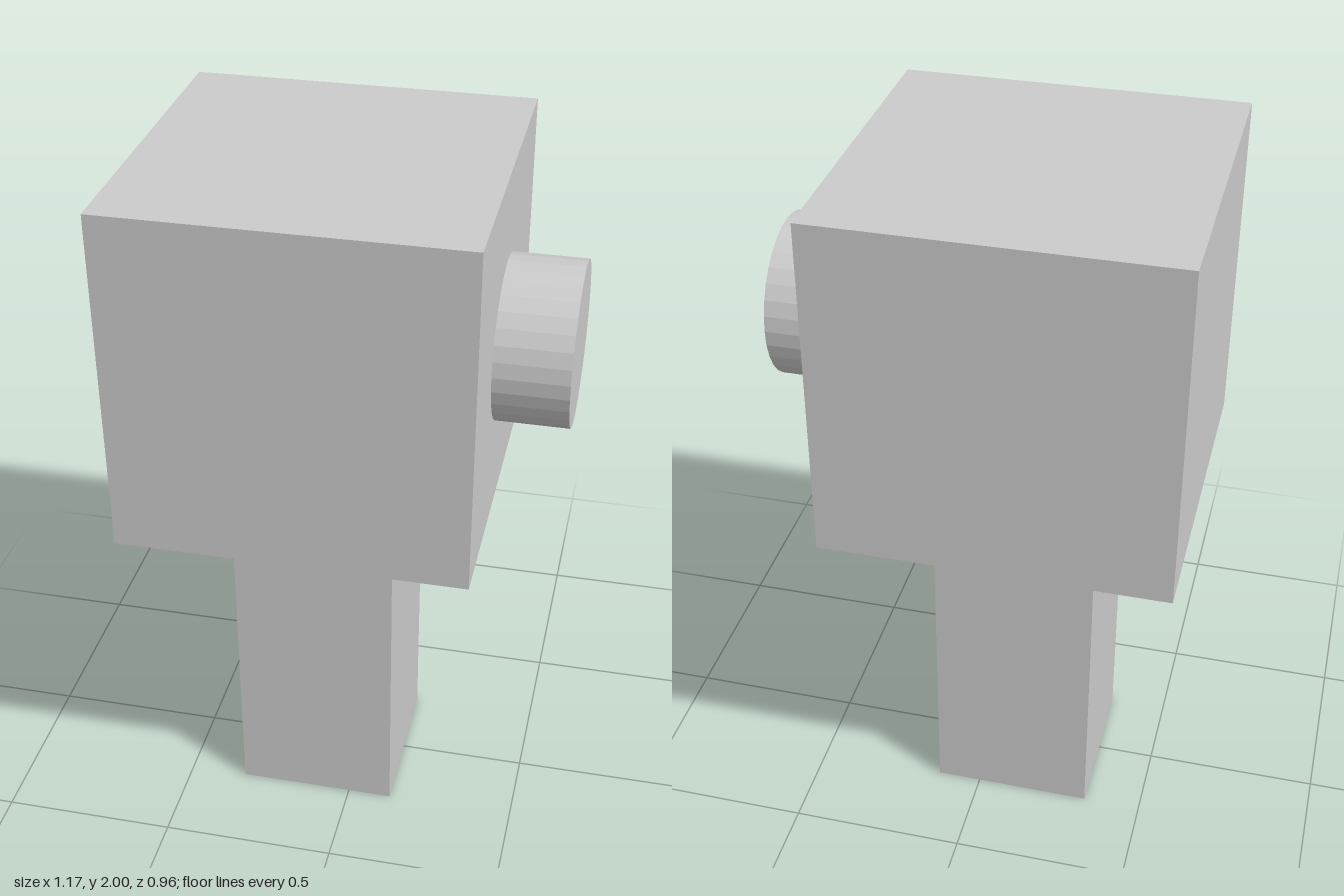
import * as THREE from 'three';

export function createModel() {
  const group = new THREE.Group();
  const material = new THREE.MeshStandardMaterial({ color: 0xcccccc, flatShading: true });

  const add = (name, geometry, x, y, z) => {
    const mesh = new THREE.Mesh(geometry, material);
    mesh.name = name;
    mesh.position.set(x, y, z);
    group.add(mesh);
  };

  const axisX = -0.102; // shared centre line of post and head
  const headSize = 0.964;
  const postHeight = 2 - headSize;

  // Square post
  add('post', new THREE.BoxGeometry(0.46, postHeight, 0.46), axisX, postHeight / 2, 0);

  // Cubic head on top of the post
  add('head', new THREE.BoxGeometry(headSize, headSize, headSize), axisX, 2 - headSize / 2, 0);

  // Round knob on the head's left side, pointing along +x
  const knob = new THREE.CylinderGeometry(0.225, 0.225, 0.203, 32).rotateZ(-Math.PI / 2);
  add('knob', knob, 0.4815, 1.525, 0.005);

  return group;
}
